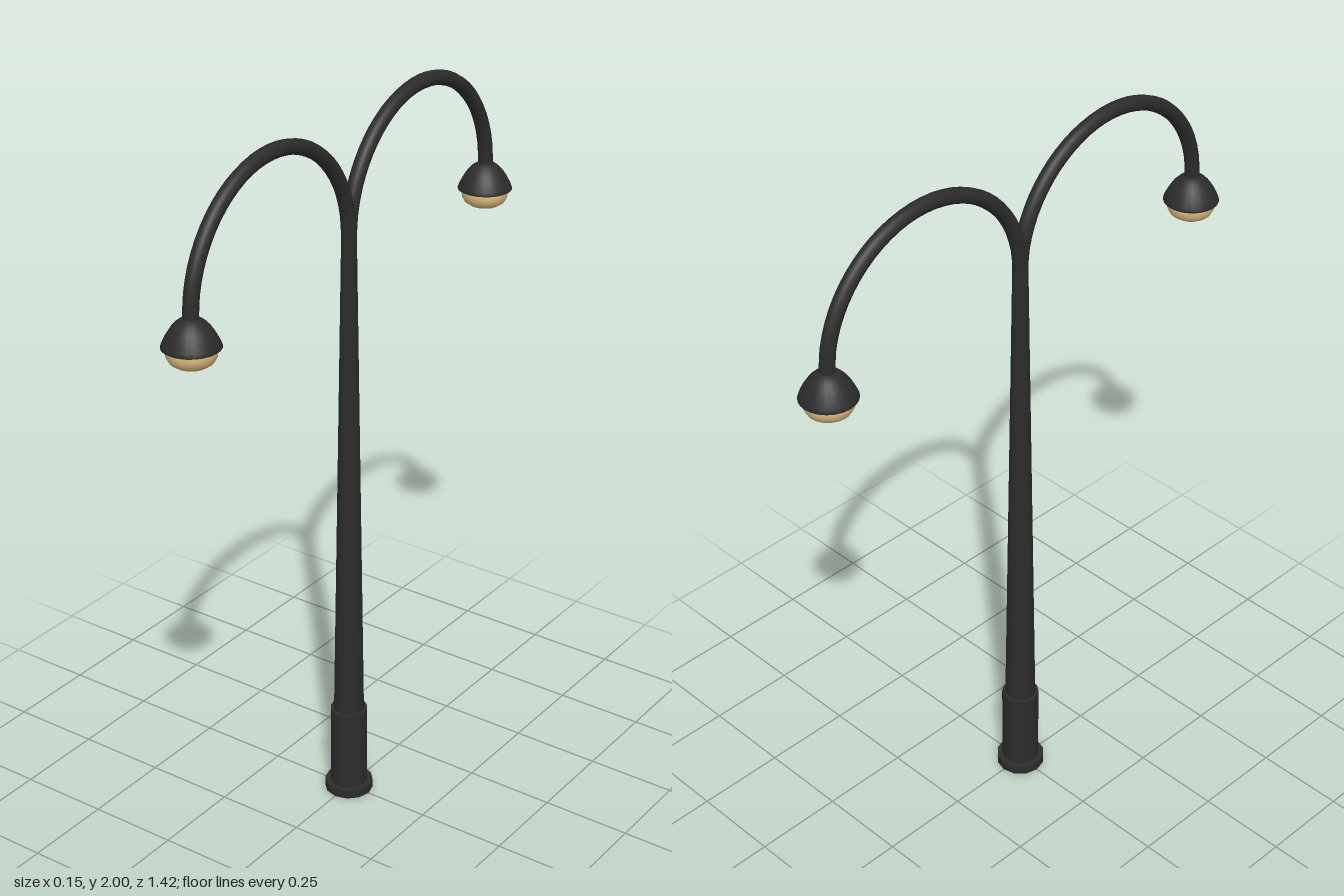
import * as THREE from 'three';

const ARM_R = 0.3175; // radius of each arm's arch
const SPRING_Y = 1.662; // height where the arches leave the pole

export function createModel() {
  const model = new THREE.Group();
  model.name = 'doubleStreetLamp';
  const iron = new THREE.MeshStandardMaterial({ color: 0x2c2c2c });
  const glass = new THREE.MeshStandardMaterial({ color: 0xd6b67c });

  const add = (parent, name, geometry, material) => {
    const mesh = new THREE.Mesh(geometry, material);
    mesh.name = name;
    parent.add(mesh);
    return mesh;
  };
  const lathe = (points, sides) =>
    new THREE.LatheGeometry(points.map(([x, y]) => new THREE.Vector2(x, y)), sides);
  // Tapered upright section between two heights
  const column = (name, rBottom, rTop, y0, y1, sides) => {
    const mesh = add(model, name, new THREE.CylinderGeometry(rTop, rBottom, y1 - y0, sides), iron);
    mesh.position.y = (y0 + y1) / 2;
  };

  // Pole
  column('basePlate', 0.067, 0.067, 0, 0.025, 12);
  column('baseSleeve', 0.051, 0.051, 0.025, 0.262, 16);
  column('shaft', 0.042, 0.02, 0.262, 1.67, 16);

  // Half-circle arch from the pole top to the lamp
  const arch = [];
  for (let i = 0; i <= 16; i++) {
    const a = Math.PI * (1 - i / 16);
    arch.push(new THREE.Vector3(0, SPRING_Y + ARM_R * Math.sin(a), ARM_R * (1 + Math.cos(a))));
  }
  const armGeometry = new THREE.TubeGeometry(new THREE.CatmullRomCurve3(arch), 32, 0.02, 12);

  // Domed shade with a slightly flared rim and a closed underside
  const shadeGeometry = lathe([
    [0.07, 1.594], [0.074, 1.594], [0.07, 1.605], [0.061, 1.623], [0.049, 1.642],
    [0.036, 1.656], [0.02, 1.667], [0, 1.67],
  ], 24);
  const undersideGeometry = new THREE.CircleGeometry(0.074, 24).rotateX(Math.PI / 2);

  // Shallow rounded lens below the shade
  const lensGeometry = lathe([
    [0, 1.541], [0.022, 1.543], [0.042, 1.549], [0.055, 1.558], [0.062, 1.571], [0.063, 1.583], [0.061, 1.596],
  ], 24);

  // Front and back arms, each with its lamp
  for (const [side, turn] of [['front', 0], ['back', Math.PI]]) {
    const branch = new THREE.Group();
    branch.name = side + 'Branch';
    branch.rotation.y = turn;
    add(branch, side + 'Arm', armGeometry, iron);
    const lamp = new THREE.Group();
    lamp.name = side + 'Lamp';
    lamp.position.z = 2 * ARM_R;
    add(lamp, side + 'Shade', shadeGeometry, iron);
    add(lamp, side + 'ShadeUnderside', undersideGeometry, iron).position.y = 1.594;
    add(lamp, side + 'Lens', lensGeometry, glass);
    branch.add(lamp);
    model.add(branch);
  }
  return model;
}
